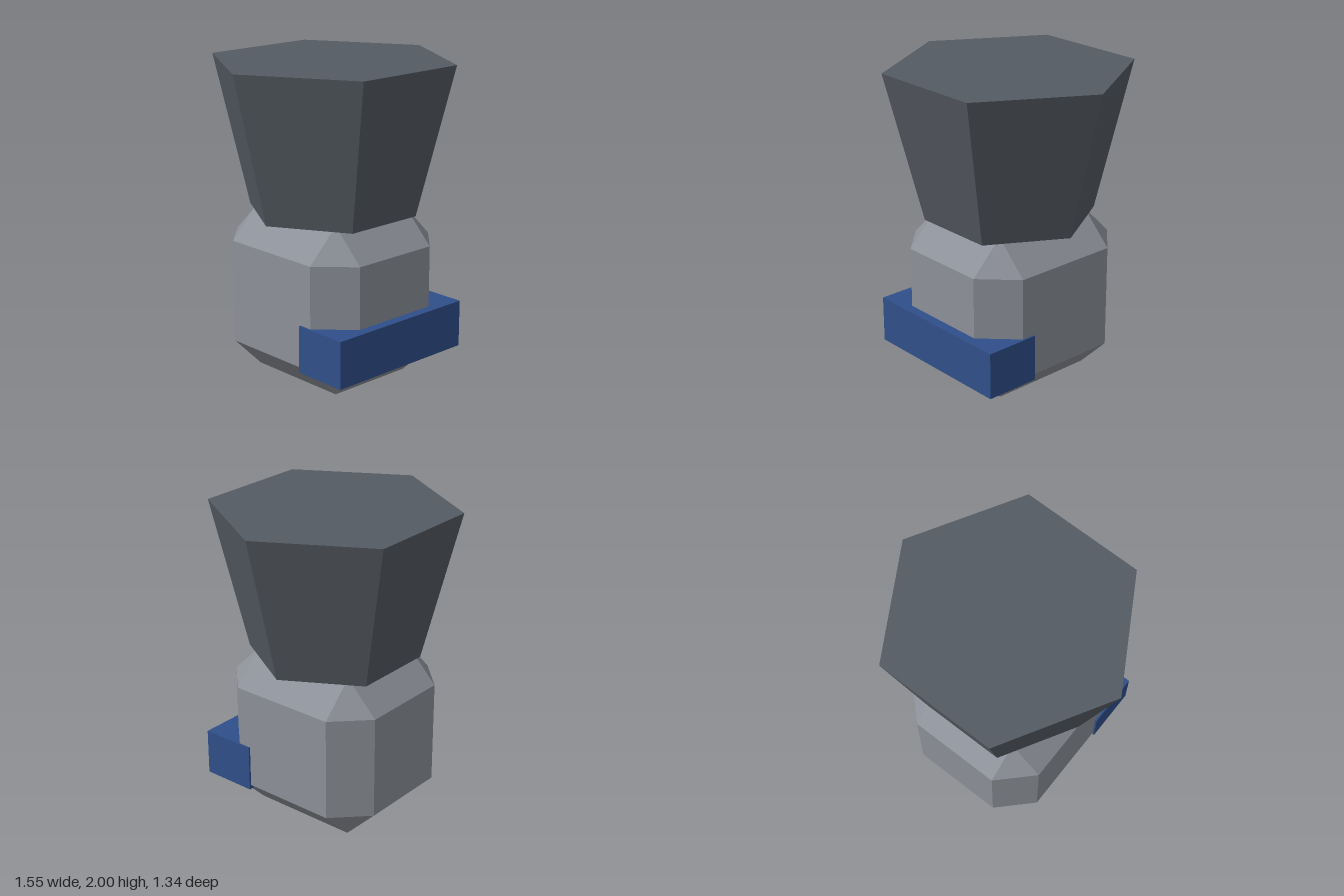
import * as THREE from 'three';
import { ConvexGeometry } from 'three/addons/geometries/ConvexGeometry.js';

// Box with equal chamfers on every edge and triangular corners
function chamferedBox(hx, hy, hz, c) {
  const points = [];
  for (const sx of [-1, 1]) for (const sy of [-1, 1]) for (const sz of [-1, 1]) {
    points.push(
      new THREE.Vector3(sx * hx, sy * (hy - c), sz * (hz - c)),
      new THREE.Vector3(sx * (hx - c), sy * hy, sz * (hz - c)),
      new THREE.Vector3(sx * (hx - c), sy * (hy - c), sz * hz)
    );
  }
  return new ConvexGeometry(points);
}

export function createModel() {
  const model = new THREE.Group();
  model.name = 'model';

  const add = (name, geometry, color, x, y, z) => {
    const material = new THREE.MeshStandardMaterial({ color, flatShading: true });
    const mesh = new THREE.Mesh(geometry, material);
    mesh.name = name;
    mesh.position.set(x, y, z);
    model.add(mesh);
  };

  // Chamfered body
  add('body', chamferedBox(0.508, 0.54, 0.563, 0.208), 0x8d9199, 0, 0.54, 0);

  // Solid six-sided hopper, corners on the x axis
  add('hopper', new THREE.CylinderGeometry(0.775, 0.54, 0.95, 6, 1, false, Math.PI / 2),
    0x555b63, 0, 1.525, 0);

  // Band across the lower front
  add('frontBand', new THREE.BoxGeometry(1.04, 0.3, 0.36), 0x2f4f8a, 0, 0.33, 0.447);

  return model;
}
